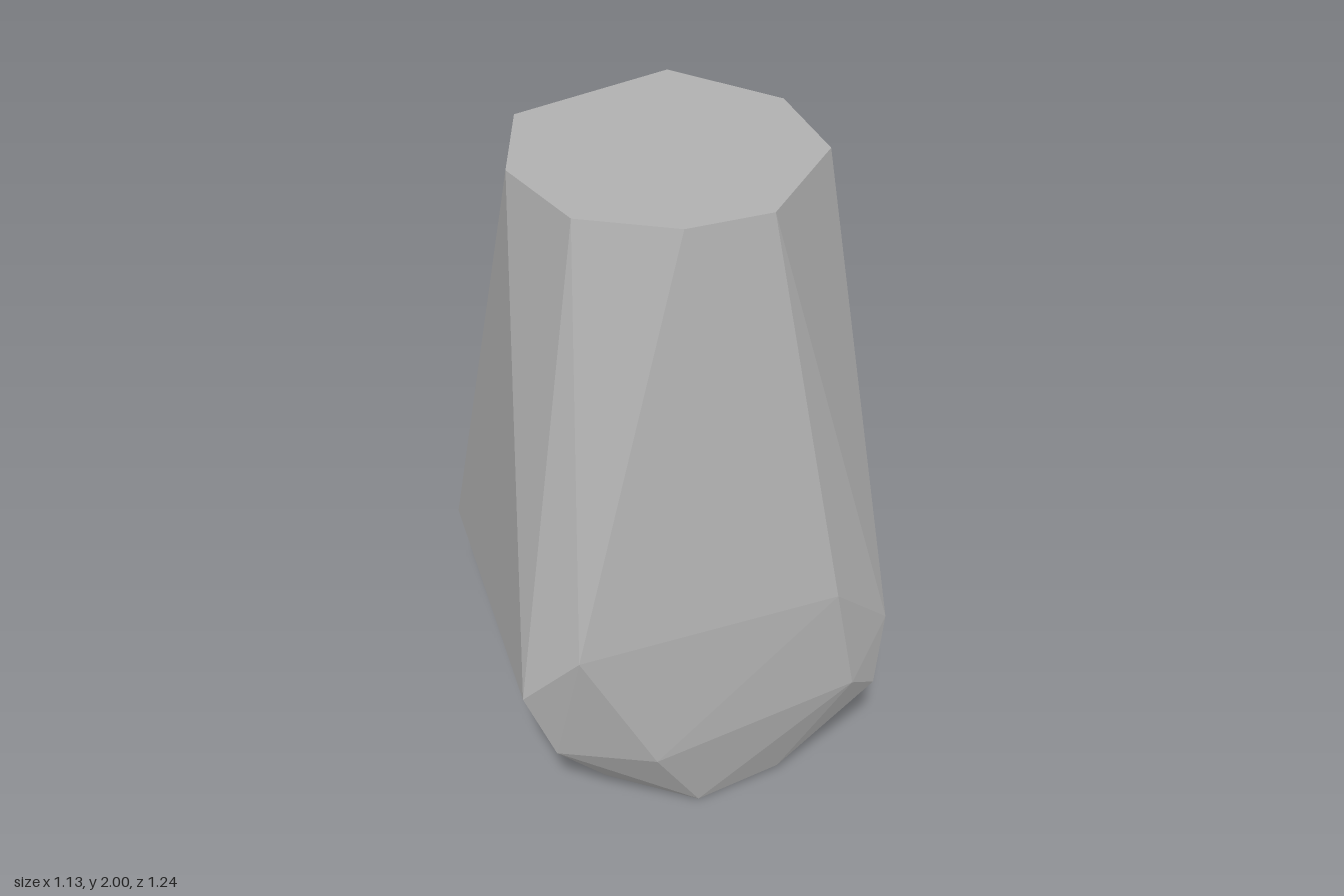
import * as THREE from 'three';
import { ConvexGeometry } from 'three/addons/geometries/ConvexGeometry.js';

export function createModel() {
  const stone = new THREE.MeshStandardMaterial({ color: 0xb0b0b0 });
  stone.name = 'stone grey';

  // flat cut top: eight corners (x, z) at y = 2
  const top = [
    [-0.36, -0.295], [0.14, -0.45], [0.415, -0.18], [0.45, 0.14],
    [0.19, 0.44], [-0.07, 0.46], [-0.345, 0.325], [-0.455, 0.02],
  ].map(([x, z]) => [x, 2, z]);

  // widest belt of corners
  const belt = [
    [0.365, 0.77, 0.61], [-0.42, 0.685, 0.605], [-0.57, 0.5, 0.505],
    [-0.555, 0.44, -0.53], [-0.4, 0.61, -0.595], [0.105, 0.61, -0.625],
    [0.565, 0.475, -0.505], [0.565, 0.56, 0.5],
  ];

  // chamfer corners below the belt, on the front
  const chamfer = [
    [0.43, 0.41, 0.6], [0.525, 0.335, 0.535],
    [-0.19, 0.255, 0.618], [-0.475, 0.27, 0.515],
  ];

  // underside corners
  const base = [
    [-0.04, 0.003, 0.555], [0.23, 0.035, 0.51], [0.3, 0.065, -0.465],
    [0.06, 0.055, -0.555], [-0.08, 0, -0.44], [-0.31, 0.085, -0.455],
    [-0.31, 0.085, 0.46],
  ];

  // faceted convex boulder wrapped around all the corners
  const corners = [...top, ...belt, ...chamfer, ...base]
    .map((p) => new THREE.Vector3(...p));
  const rock = new THREE.Mesh(new ConvexGeometry(corners), stone);
  rock.name = 'rock';

  const group = new THREE.Group();
  group.name = 'facetedRock';
  group.add(rock);
  return group;
}
